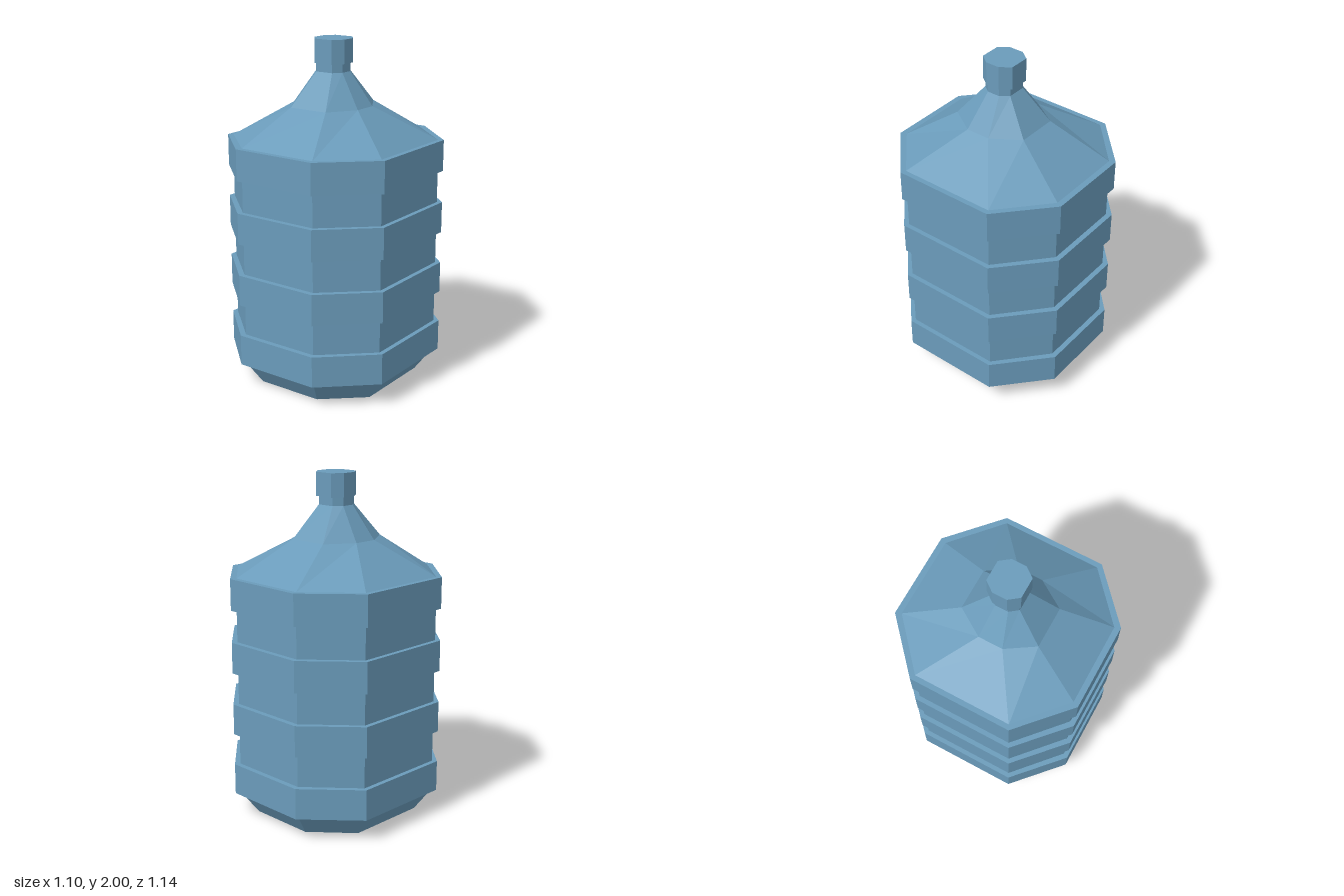
import * as THREE from 'three';

// Octagonal section: half width x, flat half width fx, half depth z, flat half depth fz, centre depth c
const section = (y, x, fx, z, fz, c = 0) => [
  [fx, z], [x, fz], [x, -fz], [fx, -z], [-fx, -z], [-x, -fz], [-x, fz], [-fx, z],
].map(([px, pz]) => new THREE.Vector3(px, y, pz + c));

// Closed, faceted loft through sections listed from bottom to top
function loft(sections) {
  const points = [];
  const n = 8;
  for (let s = 0; s < sections.length - 1; s++) {
    const a = sections[s], b = sections[s + 1];
    for (let i = 0; i < n; i++) {
      const j = (i + 1) % n;
      points.push(a[i], a[j], b[j], a[i], b[j], b[i]);
    }
  }
  const low = sections[0], high = sections[sections.length - 1];
  for (let i = 1; i < n - 1; i++) {
    points.push(low[0], low[i + 1], low[i], high[0], high[i], high[i + 1]);
  }
  const geometry = new THREE.BufferGeometry().setFromPoints(points);
  geometry.computeVertexNormals();
  return geometry;
}

export function createModel() {
  const group = new THREE.Group();
  group.name = 'waterBottle';
  const plastic = new THREE.MeshStandardMaterial({ color: 0x6a9bba, flatShading: true });
  plastic.name = 'bluePlastic';

  const add = (name, ...sections) => {
    const mesh = new THREE.Mesh(loft(sections), plastic);
    mesh.name = name;
    group.add(mesh);
  };

  const wall = (y) => section(y, 0.522, 0.245, 0.537, 0.29, 0);
  const ring = (y) => section(y, 0.549, 0.258, 0.568, 0.303, 0);

  // Bottle: tapered base, straight wall, sloping shoulder and neck
  add('bottle',
    section(0, 0.427, 0.2, 0.443, 0.243, 0.003),
    wall(0.138),
    wall(1.425),
    section(1.625, 0.224, 0.121, 0.232, 0.072, 0.018),
    section(1.815, 0.092, 0.055, 0.086, 0.038, 0.014),
    section(1.87, 0.092, 0.055, 0.086, 0.038, 0.014));

  // Four raised bands around the wall
  for (let i = 0; i < 4; i++) {
    const y = 0.138 + i * 0.369;
    add('band' + (i + 1), ring(y), ring(y + 0.182));
  }

  // Cap
  const cap = (y) => section(y, 0.104, 0.06, 0.1, 0.042, 0.01);
  add('cap', cap(1.864), cap(2));

  return group;
}
